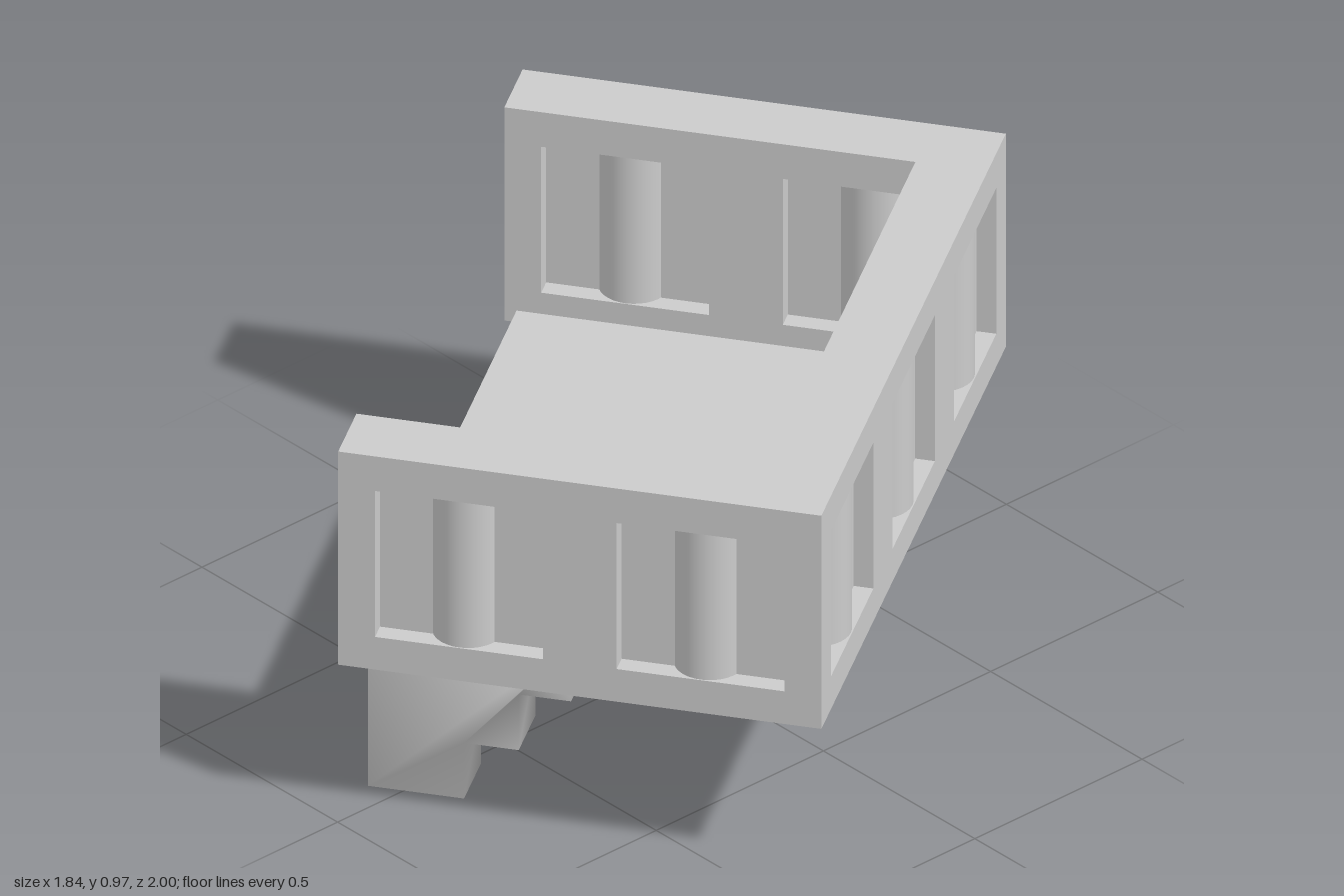
import * as THREE from 'three';
import { mergeVertices } from 'three/addons/utils/BufferGeometryUtils.js';

const LENGTH = 1.665, DEPTH = 1.105;         // outer plan of the balcony
const THICK = 0.165, RECESS = 0.045;         // parapet thickness, panel recess
const BOTTOM = 0.41, TOP = 0.965;            // parapet height range
const WIN_LOW = 0.495, WIN_HIGH = 0.875, WIN_W = 0.384;
const FLOOR_EDGE = DEPTH / 2 - 0.028;

const grey = new THREE.MeshStandardMaterial({ color: 0xcccccc });
const greyDouble = new THREE.MeshStandardMaterial({ color: 0xcccccc, side: THREE.DoubleSide });

function addMesh(parent, name, geometry, material = grey) {
  const mesh = new THREE.Mesh(geometry, material);
  mesh.name = name;
  parent.add(mesh);
  return mesh;
}

function rectangle(Kind, x0, x1, y0, y1) {
  return new Kind([[x0, y0], [x1, y0], [x1, y1], [x0, y1]].map(p => new THREE.Vector2(...p)));
}

// Flat plate with window openings, clipped to the range clip[0]..clip[1]
function plate(x0, x1, centres, clip) {
  const shape = rectangle(THREE.Shape, x0, x1, BOTTOM, TOP);
  for (const c of centres) {
    const a = Math.max(c - WIN_W / 2, clip[0]);
    const b = Math.min(c + WIN_W / 2, clip[1]);
    shape.holes.push(rectangle(THREE.Path, a, b, WIN_LOW, WIN_HIGH));
  }
  return new THREE.ExtrudeGeometry(shape, { depth: RECESS, bevelEnabled: false });
}

// Parapet wall with its outer face on z = 0; cornerLow / cornerHigh tell which
// ends meet another wall
function makeWall(name, length, count, cornerLow, cornerHigh) {
  const wall = new THREE.Group();
  wall.name = name;
  const h = length / 2;
  const range = inset => [-h + (cornerLow ? inset : 0), h - (cornerHigh ? inset : 0)];
  const centres = Array.from({ length: count }, (_, i) => -h + (i + 0.5) * length / count);

  // outer frame, solid middle panel, inner frame
  addMesh(wall, 'outerFrame', plate(-h, h, centres, [-h, h])).position.z = -RECESS;
  const [c0, c1] = range(RECESS);
  addMesh(wall, 'panel', new THREE.BoxGeometry(c1 - c0, TOP - BOTTOM, THICK - 2 * RECESS))
    .position.set((c0 + c1) / 2, (TOP + BOTTOM) / 2, -THICK / 2);
  const [i0, i1] = range(THICK - RECESS);
  addMesh(wall, 'innerFrame', plate(i0, i1, centres, range(THICK + 0.01))).position.z = -THICK;

  // one round baluster in each opening, showing on both faces
  const baluster = new THREE.CylinderGeometry(0.08, 0.08, WIN_HIGH - WIN_LOW, 32);
  for (const c of centres) {
    addMesh(wall, 'baluster', baluster)
      .position.set(c, (WIN_LOW + WIN_HIGH) / 2, -THICK / 2);
  }
  return wall;
}

// Stepped support with softly blended normals
function bracketGeometry(width) {
  const steps = [0.22, 0.345, 0.465], rise = 0.145;
  const shape = new THREE.Shape();
  shape.moveTo(0, 0);
  steps.forEach((reach, i) => {
    shape.lineTo(reach, i * rise);
    shape.lineTo(reach, (i + 1) * rise);
  });
  shape.lineTo(0, steps.length * rise);
  const geometry = new THREE.ExtrudeGeometry(shape, { depth: width, bevelEnabled: false });
  geometry.deleteAttribute('uv');
  geometry.deleteAttribute('normal');
  const smooth = mergeVertices(geometry);
  smooth.computeVertexNormals();
  return smooth;
}

export function createModel() {
  const model = new THREE.Group();
  model.name = 'balcony';

  // three parapet walls, open on the building side (+z)
  const front = makeWall('longParapet', LENGTH, 3, true, true);
  front.position.z = -DEPTH / 2;
  front.rotation.y = Math.PI;
  model.add(front);
  for (const side of [-1, 1]) {
    const arm = makeWall('sideParapet', DEPTH, 2, side < 0, side > 0);
    arm.position.x = side * LENGTH / 2;
    arm.rotation.y = side * Math.PI / 2;
    model.add(arm);
  }

  // thin floor between the walls
  const floorBack = -DEPTH / 2 + THICK;
  const floor = addMesh(model, 'floor',
    new THREE.PlaneGeometry(LENGTH - 2 * THICK, FLOOR_EDGE - floorBack), greyDouble);
  floor.rotation.x = -Math.PI / 2;
  floor.position.set(0, 0.44, (FLOOR_EDGE + floorBack) / 2);

  // pair of stepped brackets under the floor
  const width = 0.153;
  const bracket = bracketGeometry(width);
  for (const side of [-1, 1]) {
    const mesh = addMesh(model, 'bracket', bracket);
    mesh.rotation.y = Math.PI / 2;
    mesh.position.set(side * 0.591 - width / 2, 0, FLOOR_EDGE + 0.002);
  }

  // the balcony stands turned in plan
  model.rotation.y = -0.984;
  const root = new THREE.Group();
  root.name = 'balconyModel';
  root.add(model);
  return root;
}
